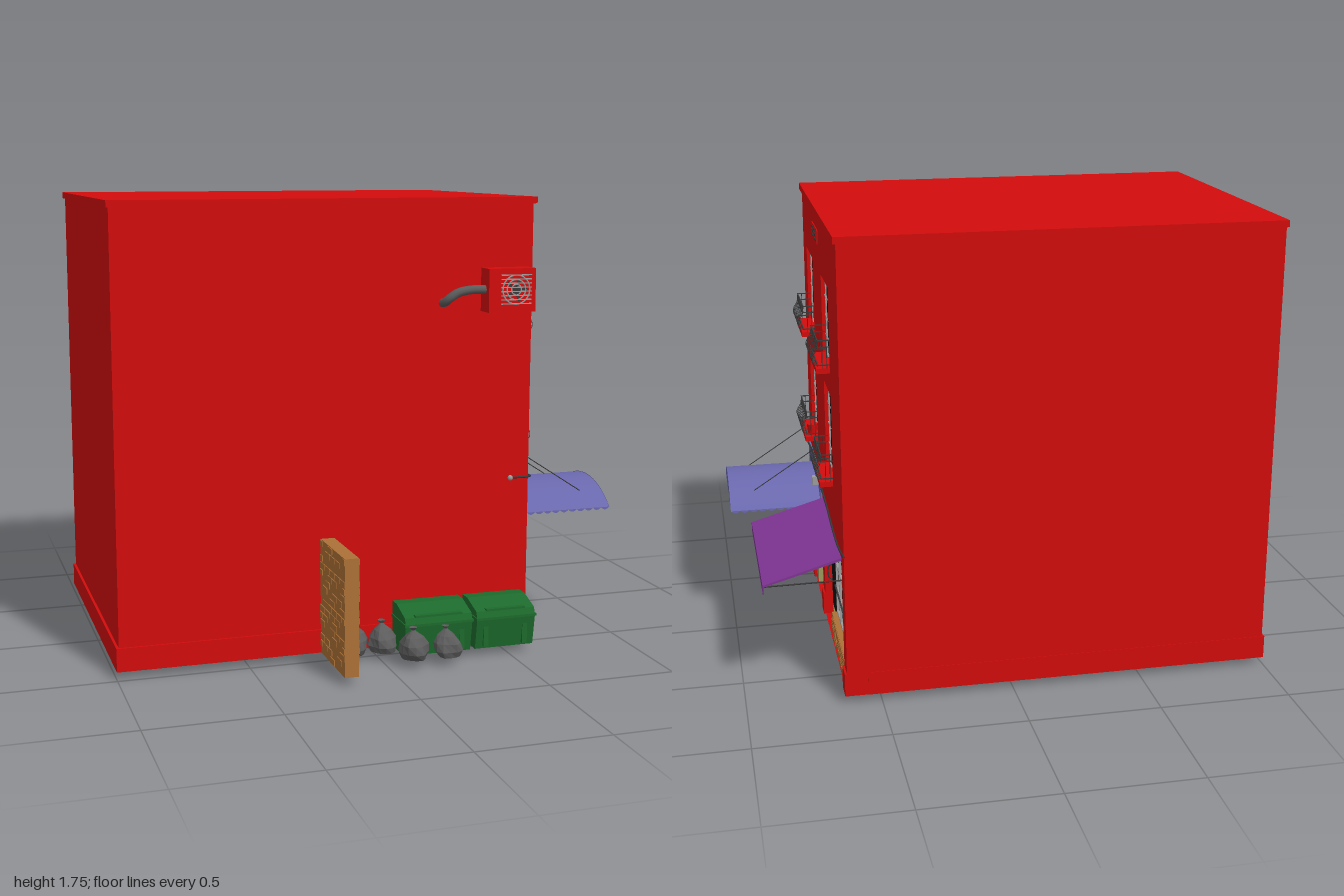
import * as THREE from 'three';
import { mergeGeometries } from 'three/addons/utils/BufferGeometryUtils.js';

const COLORS = {
  red: 0xd20c0c, grey: 0x9c9c9c, dark: 0x111111, olive: 0x9c9a5c, purple: 0x803494,
  blue: 0x6a68ad, green: 0x1d6a2c, brown: 0xac7036, bag: 0x5c5c5c, iron: 0x3a3a3a, step: 0x4c4a38, brass: 0x9a8440,
};
const mats = {};
function mat(color, side = THREE.FrontSide, flatShading = false) {
  const key = color + side + flatShading;
  return (mats[key] ??= new THREE.MeshStandardMaterial({ color: COLORS[color], side, flatShading }));
}
function add(parent, name, geometry, material) {
  const mesh = new THREE.Mesh(geometry, material);
  mesh.name = name;
  parent.add(mesh);
  return mesh;
}
function boxGeo(x0, x1, y0, y1, z0, z1) {
  return new THREE.BoxGeometry(x1 - x0, y1 - y0, z1 - z0).translate((x0 + x1) / 2, (y0 + y1) / 2, (z0 + z1) / 2);
}
const box = (parent, name, color, ...b) => add(parent, name, boxGeo(...b), mat(color));
function tubeGeo(points, r, segments = 8, sides = 5) {
  const curve = new THREE.CatmullRomCurve3(points.map((p) => new THREE.Vector3(...p)));
  return new THREE.TubeGeometry(curve, segments, r, sides);
}
const tube = (parent, name, color, points, r, segments, sides) =>
  add(parent, name, tubeGeo(points, r, segments, sides), mat(color, THREE.DoubleSide));
let seed = 7;
const rand = () => (seed = (seed * 16807) % 2147483647) / 2147483647;

// Raised bricks on a slab in the XY plane, front at z1 (and back at z0 if both)
function brickSlab(parent, name, x0, x1, y0, y1, z0, z1, rows, cols, both) {
  const parts = [boxGeo(x0, x1, y0, y1, z0, z1)], h = (y1 - y0) / rows, w = (x1 - x0) / cols;
  for (let r = 0; r < rows; r++) {
    for (let c = 0; c <= cols; c++) {
      const a = Math.max(x0, x0 + (c - (r % 2) / 2) * w + 0.003), b = Math.min(x1, x0 + (c + 1 - (r % 2) / 2) * w - 0.003);
      if (b - a < 0.01 || rand() < 0.4) continue;
      const y = y0 + r * h;
      parts.push(boxGeo(a, b, y + 0.003, y + h - 0.003, both ? z0 - 0.003 : z0, z1 + 0.003));
    }
  }
  return add(parent, name, mergeGeometries(parts), mat('brown'));
}

// Window with two glazed casements, sill and bellied balcony railing
function windowUnit(parent, u0, y0, y1) {
  const g = new THREE.Group(), w = 0.235;
  g.name = 'balconyWindow';
  g.position.x = u0;
  parent.add(g);
  box(g, 'windowFrame', 'grey', 0, w, y0, y1, 0.57, 0.615);
  for (const a of [0.015, 0.13]) {
    box(g, 'windowGlass', 'dark', a, a + 0.09, y0 + 0.018, y1 - 0.02, 0.61, 0.617);
    for (const t of [0.33, 0.67]) box(g, 'mullion', 'grey', a + 0.09 * t - 0.002, a + 0.09 * t + 0.002, y0, y1, 0.612, 0.62);
    for (let i = 1; i < 4; i++) {
      const y = y0 + ((y1 - y0) * i) / 4;
      box(g, 'glazingBar', 'grey', a, a + 0.09, y - 0.002, y + 0.002, 0.612, 0.62);
    }
  }
  box(g, 'windowSill', 'red', -0.003, w + 0.003, y0 - 0.02, y0, 0.6, 0.68);
  const top = y0 + 0.105, parts = [];
  for (const y of [top, top - 0.025, y0 + 0.012]) {
    parts.push(boxGeo(0, w, y - 0.002, y + 0.002, 0.671, 0.675));
    for (const x of [0, w]) parts.push(boxGeo(x - 0.002, x + 0.002, y - 0.002, y + 0.002, 0.62, 0.675));
  }
  for (let i = 0; i <= 10; i++) {
    const x = (w * i) / 10;
    parts.push(tubeGeo([[x, top, 0.673], [x, top - 0.03, 0.676], [x, y0 + 0.04, 0.694], [x, y0 + 0.018, 0.688], [x, y0 + 0.01, 0.673]], 0.0015, 8, 4));
  }
  for (const x of [0, w]) for (const d of [0.64, 0.657]) parts.push(tubeGeo([[x, y0, d], [x, top, d]], 0.0015, 2, 4));
  const plain = parts.map((p) => p.toNonIndexed());
  add(g, 'balconyRailing', mergeGeometries(plain), mat('iron'));
}

// Panelled door: grey leaf, dark glass, handle and letter slot
function door(parent, name, u0, u1, y0, y1, d) {
  const g = new THREE.Group();
  g.name = name;
  parent.add(g);
  box(g, 'doorLeaf', 'grey', u0, u1, y0, y1, d - 0.03, d);
  box(g, 'doorGlass', 'dark', u0 + 0.032, u1 - 0.032, y0 + 0.06, y1 - 0.06, d - 0.01, d + 0.003);
  box(g, 'letterSlot', 'brass', u0 + 0.065, u1 - 0.065, y0 + 0.038, y0 + 0.048, d, d + 0.006);
  tube(g, 'doorHandle', 'iron', [[u0 + 0.018, y0 + 0.16, d], [u0 + 0.018, y0 + 0.17, d + 0.015], [u0 + 0.018, y0 + 0.22, d + 0.015], [u0 + 0.018, y0 + 0.23, d]], 0.003);
}

// Row of half-round scallops hanging under y = 0
function scallops(shape, x0, x1, n) {
  const s = (x1 - x0) / n;
  for (let i = 0; i < n; i++) shape.quadraticCurveTo(x0 + (i + 0.5) * s, -0.02, x0 + (i + 1) * s, 0);
}

function buildFacade(root) {
  // Local x runs to the building's rear, local z points out of the shop front
  const f = new THREE.Group();
  f.name = 'shopFacade';
  f.rotation.y = Math.PI / 2;
  root.add(f);
  const rect = (T, a, b, c, d) => new T([[a, c], [b, c], [b, d], [a, d]].map((p) => new THREE.Vector2(...p)));
  const wall = rect(THREE.Shape, -0.48, 0.74, 0.03, 1.73);
  const windows = [-0.35, 0.205].flatMap((u) => [[u, 0.77, 1.1], [u, 1.21, 1.51]]);
  wall.holes = windows.map(([u, a, b]) => rect(THREE.Path, u, u + 0.235, a, b));
  wall.holes.push(rect(THREE.Path, -0.39, -0.07, 0.031, 0.49), rect(THREE.Path, 0, 0.66, 0.031, 0.53));
  add(f, 'facadeWall', new THREE.ExtrudeGeometry(wall, { depth: 0.08, bevelEnabled: false }).translate(0, 0, 0.55), mat('red'));
  windows.forEach((w) => windowUnit(f, ...w));
  for (const [a, b] of [[-0.49, -0.39], [-0.07, 0], [0.66, 0.74]]) box(f, 'facadePlinth', 'red', a, b, 0.03, 0.12, 0.6, 0.638);

  // Wall vent
  box(f, 'ventPlate', 'red', -0.07, 0.13, 1.61, 1.665, 0.62, 0.634);
  for (let i = 0; i < 12; i++) for (let j = 0; j < 3; j++)
    box(f, 'ventSlot', 'iron', -0.06 + i * 0.0155, -0.05 + i * 0.0155, 1.618 + j * 0.015, 1.626 + j * 0.015, 0.63, 0.636);

  // House entrance
  box(f, 'doorSurround', 'olive', -0.39, -0.33, 0.03, 0.49, 0.55, 0.625);
  box(f, 'doorSurround', 'olive', -0.13, -0.07, 0.03, 0.49, 0.55, 0.625);
  box(f, 'doorLintel', 'olive', -0.33, -0.13, 0.42, 0.49, 0.55, 0.625);
  box(f, 'lintelTrim', 'grey', -0.33, -0.13, 0.42, 0.433, 0.6, 0.632);
  door(f, 'houseDoor', -0.33, -0.13, 0.03, 0.42, 0.59);
  const step = new THREE.Shape([[0.55, 0.03], [0.625, 0.03], [0.625, 0.022], [0.56, 0]].map((p) => new THREE.Vector2(...p)));
  const stepMesh = add(f, 'doorStep', new THREE.ExtrudeGeometry(step, { depth: 0.32, bevelEnabled: false }), mat('step'));
  stepMesh.rotation.y = -Math.PI / 2;
  stepMesh.position.x = -0.07;

  // Shop front
  door(f, 'shopDoor', 0, 0.195, 0.03, 0.43, 0.6);
  box(f, 'shopFascia', 'grey', 0, 0.66, 0.43, 0.53, 0.55, 0.6);
  box(f, 'shopGlass', 'dark', 0.2, 0.66, 0.125, 0.43, 0.55, 0.595);
  for (const u of [0.2, 0.312, 0.425, 0.538, 0.652]) box(f, 'shopMullion', 'grey', u - 0.004, u + 0.004, 0.125, 0.43, 0.59, 0.605);
  for (const y of [0.13, 0.23, 0.335, 0.425]) box(f, 'shopTransom', 'grey', 0.195, 0.66, y - 0.004, y + 0.004, 0.59, 0.604);
  box(f, 'shopRail', 'iron', 0.2, 0.65, 0.24, 0.246, 0.606, 0.612);
  brickSlab(f, 'shopBrickwork', 0.195, 0.66, 0.03, 0.125, 0.55, 0.625, 4, 7, false);

  // Sloping awning
  const slope = new THREE.Shape([[0.63, 0.55], [0.92, 0.465], [0.92, 0.43], [0.915, 0.43], [0.915, 0.458], [0.63, 0.54]].map((p) => new THREE.Vector2(...p)));
  const awning = add(f, 'shopAwning', new THREE.ExtrudeGeometry(slope, { depth: 0.645, bevelEnabled: false }), mat('purple'));
  awning.rotation.y = -Math.PI / 2;
  awning.position.x = 0.66;
  for (const u of [0.02, 0.655]) tube(f, 'awningArm', 'iron', [[u, 0.46, 0.63], [u, 0.458, 0.915]], 0.003, 2);

  // Barrel awning with scalloped hem
  const R = 0.326, half = 0.783, cloth = mat('blue', THREE.DoubleSide);
  const vault = new THREE.CylinderGeometry(R, R, 0.365, 24, 1, true, Math.PI - half, half * 2).rotateX(Math.PI / 2);
  add(f, 'barrelAwning', vault.translate(-0.23, 0.605 - R, 0.8175), cloth);
  const front = new THREE.Shape();
  front.moveTo(-0.23, 0);
  scallops(front, -0.23, 0.23, 12);
  front.absarc(0, 0.095 - R, R, Math.PI / 2 - half, Math.PI / 2 + half, false);
  add(f, 'awningFront', new THREE.ShapeGeometry(front), cloth).position.set(-0.23, 0.512, 0.998);
  const hem = new THREE.Shape();
  hem.moveTo(-0.18, 0);
  scallops(hem, -0.18, 0.18, 10);
  for (const u of [-0.46, 0]) {
    const m = add(f, 'awningHem', new THREE.ShapeGeometry(hem), cloth);
    m.position.set(u, 0.512, 0.818);
    m.rotation.y = Math.PI / 2;
  }
  box(f, 'awningBackPanel', 'blue', -0.46, 0, 0.505, 0.635, 0.625, 0.638);
  for (const u of [-0.39, -0.07]) {
    tube(f, 'awningStay', 'iron', [[u, 0.745, 0.63], [u, 0.57, 0.9]], 0.002, 2);
    add(f, 'stayAnchor', new THREE.SphereGeometry(0.006, 8, 6), mat('iron')).position.set(u, 0.745, 0.633);
  }

  // Loose power cable, junction box and flower pot
  tube(f, 'powerCable', 'iron', [[-0.49, 0.665, 0.55], [-0.487, 0.665, 0.635], [-0.25, 0.645, 0.638], [0, 0.63, 0.645], [0.2, 0.6, 0.638], [0.45, 0.572, 0.636], [0.62, 0.575, 0.636], [0.79, 0.605, 0.635]], 0.004, 40);
  box(f, 'junctionBox', 'grey', -0.008, 0.012, 0.605, 0.64, 0.63, 0.67);
  add(f, 'cableClip', new THREE.SphereGeometry(0.011, 8, 6), mat('grey')).position.set(-0.492, 0.665, 0.55);
  add(f, 'flowerPot', new THREE.CylinderGeometry(0.022, 0.016, 0.045, 10), mat('red')).position.set(-0.14, 0.795, 0.65);
}

function dumpster(root, x0, x1, z) {
  const g = new THREE.Group(), w = x1 - x0;
  g.name = 'dumpster';
  g.position.set(x0, 0.03, z);
  root.add(g);
  const side = new THREE.Shape([[0, 0], [0.135, 0], [0.155, 0.12], [0.145, 0.15], [0.05, 0.18], [0, 0.18]].map((p) => new THREE.Vector2(...p)));
  const body = add(g, 'dumpsterBody', new THREE.ExtrudeGeometry(side, { depth: w, bevelEnabled: false }), mat('green'));
  body.rotation.y = -Math.PI / 2;
  body.position.x = w;
  box(g, 'dumpsterRim', 'green', -0.004, w + 0.004, 0.118, 0.128, 0, 0.16);
  box(g, 'lidHandle', 'green', 0.04, w - 0.04, 0.15, 0.158, 0.13, 0.15);
  for (const x of [0.03, w - 0.05]) box(g, 'dumpsterRib', 'green', x, x + 0.02, 0.01, 0.115, 0.1, 0.15);
}

function trashBag(root, x, z, r, turn) {
  const profile = [[0, 0], [0.8, 0.02], [1, 0.45], [0.92, 1], [0.6, 1.5], [0.2, 1.85], [0.1, 1.95], [0.26, 2.15], [0, 2.1]];
  const geo = new THREE.LatheGeometry(profile.map((p) => new THREE.Vector2(p[0] * r, p[1] * r)), 12);
  const p = geo.attributes.position;
  for (let i = 0; i < p.count; i++) {
    const a = Math.atan2(p.getX(i), p.getZ(i)), k = 1 + 0.09 * Math.sin(3 * a + p.getY(i) * 40) + 0.04 * Math.cos(5 * a);
    p.setXYZ(i, p.getX(i) * k + p.getY(i) * 0.12, p.getY(i), p.getZ(i) * k);
  }
  const m = add(root, 'trashBag', geo, mat('bag', THREE.DoubleSide, true));
  m.position.set(x, 0.032, z);
  m.rotation.y = turn;
}

export function createModel() {
  const root = new THREE.Group();
  root.name = 'cornerShop';
  // Main block, plinth and roof cap
  box(root, 'buildingBody', 'red', -0.99, 0.55, 0.03, 1.73, -0.74, 0.48);
  box(root, 'plinth', 'red', -1, 0.55, 0.03, 0.12, -0.742, 0.488);
  box(root, 'plinthCorner', 'red', 0.55, 0.638, 0.03, 0.12, 0.47, 0.488);
  box(root, 'roofCap', 'red', -1, 0.64, 1.725, 1.75, -0.742, 0.495);
  buildFacade(root);

  // Air conditioner with grille, fan and hose
  const ac = new THREE.Group();
  ac.name = 'airConditioner';
  root.add(ac);
  box(ac, 'unitCase', 'red', 0.42, 0.61, 1.32, 1.485, 0.47, 0.56);
  for (const r of [0.02, 0.038, 0.055]) add(ac, 'fanRing', new THREE.TorusGeometry(r, 0.003, 5, 24), mat('grey')).position.set(0.53, 1.405, 0.561);
  for (let i = 0; i < 8; i++) box(ac, 'grilleBar', 'grey', 0.468, 0.592, 1.35 + i * 0.0155, 1.354 + i * 0.0155, 0.558, 0.565);
  for (let i = 0; i < 5; i++) {
    const blade = add(ac, 'fanBlade', boxGeo(0, 0.045, -0.006, 0.006, 0, 0.003), mat('iron'));
    blade.position.set(0.53, 1.405, 0.559);
    blade.rotation.z = (i * Math.PI * 2) / 5;
  }
  tube(ac, 'drainHose', 'bag', [[0.43, 1.405, 0.52], [0.36, 1.405, 0.52], [0.31, 1.395, 0.52], [0.28, 1.375, 0.515], [0.268, 1.36, 0.5], [0.265, 1.355, 0.475]], 0.017, 20, 10);

  // Free-standing brick wall
  const bricks = brickSlab(root, 'brickWall', -0.79, -0.48, 0.03, 0.475, -0.217, -0.163, 16, 5, true);
  bricks.rotation.y = Math.PI / 2;

  dumpster(root, 0.07, 0.34, 0.485);
  dumpster(root, 0.36, 0.6, 0.485);
  [[-0.11, 0.54, 0.056, 0], [0.015, 0.545, 0.056, 2], [0.1, 0.655, 0.058, 4], [0.235, 0.665, 0.055, 3]].forEach((b) => trashBag(root, ...b));
  return root;
}
